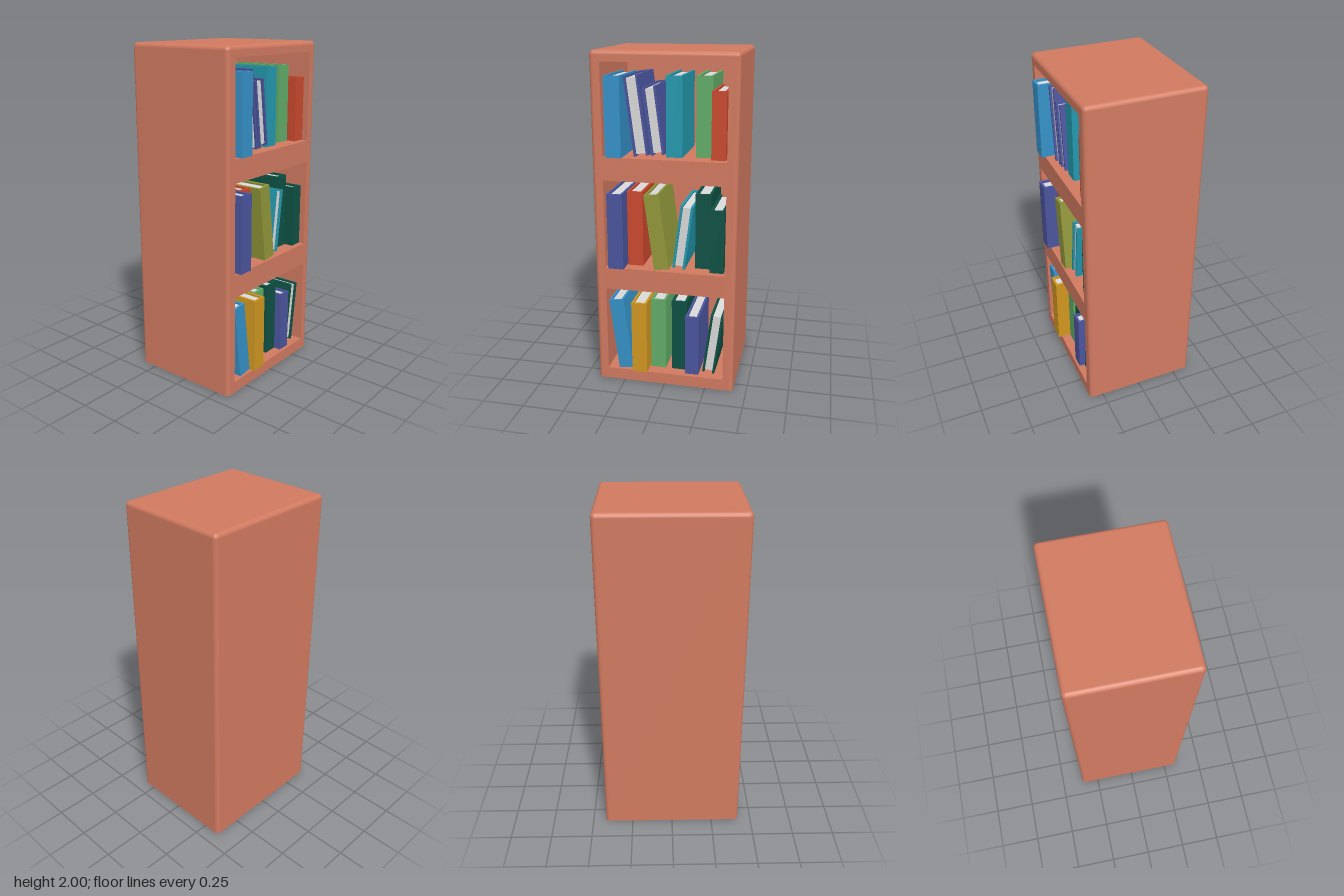
import * as THREE from 'three';

const mat = (name, color, side = THREE.FrontSide) =>
  new THREE.MeshStandardMaterial({ name, color, side });

const W = 0.42, TOP = 2, BACK = -0.36, FRONT = 0.335, R = 0.025;
const MID = (BACK + FRONT) / 2, HALF = (FRONT - BACK) / 2;
const CELL_X = 0.357, CELL_BACK = -0.215;
const CELLS = [[0.07, 0.602], [0.738, 1.27], [1.405, 1.938]];

// Open-bottomed walls with rounded upright and top edges; the flat front is left out
function shellGeometry() {
  const steps = 4, pos = [], nor = [], idx = [];
  const corners = [[1, 1], [1, -1], [-1, -1], [-1, 1]];
  const rows = [[0, 0]];
  for (let j = 0; j <= steps; j++) rows.push([TOP - R, (j / steps) * Math.PI / 2]);
  const n = corners.length * (steps + 1);
  for (const [y, t] of rows) {
    corners.forEach(([sx, sz], c) => {
      for (let k = 0; k <= steps; k++) {
        const a = (1 - c - k / steps) * Math.PI / 2;
        const d = [Math.cos(a) * Math.cos(t), Math.sin(t), Math.sin(a) * Math.cos(t)];
        nor.push(...d);
        pos.push(sx * (W - R) + R * d[0], y + R * d[1], MID + sz * (HALF - R) + R * d[2]);
      }
    });
  }
  for (let r = 0; r < rows.length - 1; r++) {
    for (let i = 0; i < (r === 0 ? n - 1 : n); i++) {
      const a = r * n + i, b = r * n + (i + 1) % n;
      idx.push(a, b, b + n, a, b + n, a + n);
    }
  }
  const g = new THREE.BufferGeometry();
  g.setAttribute('position', new THREE.Float32BufferAttribute(pos, 3));
  g.setAttribute('normal', new THREE.Float32BufferAttribute(nor, 3));
  g.setIndex(idx);
  return g;
}

// Flat front with one opening for each compartment
function frontGeometry() {
  const rect = (P, x, y0, y1) => new P([
    new THREE.Vector2(-x, y0), new THREE.Vector2(x, y0),
    new THREE.Vector2(x, y1), new THREE.Vector2(-x, y1)]);
  const shape = rect(THREE.Shape, W - R, 0, TOP - R);
  for (const [y0, y1] of CELLS) shape.holes.push(rect(THREE.Path, CELL_X, y0, y1));
  return new THREE.ShapeGeometry(shape);
}

// Inward-facing box without its front side
function compartmentGeometry(height) {
  const g = new THREE.BoxGeometry(CELL_X * 2, height, FRONT - CELL_BACK);
  const index = Array.from(g.index.array);
  index.splice(24, 6);
  g.setIndex(index.reverse());
  g.clearGroups();
  g.computeVertexNormals();
  return g;
}

export function createModel() {
  const model = new THREE.Group();
  model.name = 'bookcase';
  const wood = mat('terracotta wood', 0xd17a60, THREE.DoubleSide);
  const paper = mat('paper', 0xdadada);
  const blue = mat('blue cover', 0x3591c8);
  const teal = mat('teal cover', 0x2399ae);
  const green = mat('green cover', 0x62ac68);
  const red = mat('red cover', 0xcb492e);
  const indigo = mat('indigo cover', 0x4b559e);
  const olive = mat('olive cover', 0x91973b);
  const pine = mat('dark green cover', 0x0e5144);
  const gold = mat('gold cover', 0xd09720);

  const add = (parent, name, geometry, material, x = 0, y = 0, z = 0) => {
    const m = new THREE.Mesh(geometry, material);
    m.name = name;
    m.position.set(x, y, z);
    parent.add(m);
    return m;
  };

  // Case
  add(model, 'caseWalls', shellGeometry(), wood);
  add(model, 'caseTop', new THREE.PlaneGeometry(2 * (W - R), 2 * (HALF - R)), wood, 0, TOP, MID)
    .rotation.x = -Math.PI / 2;
  add(model, 'caseFront', frontGeometry(), wood, 0, 0, FRONT);
  for (const [y0, y1] of CELLS) {
    add(model, 'compartment', compartmentGeometry(y1 - y0), wood,
      0, (y0 + y1) / 2, (FRONT + CELL_BACK) / 2);
  }

  // A book: two boards, a spine (in front, or at the back when reversed) and a page block
  const D = 0.36, T = 0.014;
  function book(cover, x, y, w, h, front, tilt = 0, reversed = false) {
    const g = new THREE.Group();
    g.name = 'book';
    g.position.set(x, y, front - D / 2);
    g.rotation.z = tilt;
    const s = reversed ? -1 : 1;
    for (const side of [-1, 1]) {
      add(g, 'coverBoard', new THREE.BoxGeometry(T, h, D), cover, side * (w - T) / 2);
    }
    add(g, 'spine', new THREE.BoxGeometry(w - 2 * T, h, T), cover, 0, 0, s * (D - T) / 2);
    add(g, 'pages', new THREE.BoxGeometry(w - 2 * T, h - 0.024, D - T - 0.012), paper,
      0, 0, -s * (T - 0.012) / 2);
    model.add(g);
  }

  // Upright books: cover, centre x, shelf height, height, front z
  const upright = [
    [gold, -0.15, 0.08, 0.453, 0.36], [green, -0.05, 0.08, 0.453, 0.28],
    [pine, 0.08, 0.08, 0.453, 0.28], [indigo, 0.166, 0.08, 0.378, 0.325],
    [indigo, -0.286, 0.742, 0.455, 0.36], [red, -0.187, 0.742, 0.455, 0.275],
    [pine, 0.215, 0.742, 0.455, 0.25], [pine, 0.305, 0.742, 0.378, 0.305],
    [blue, -0.286, 1.41, 0.455, 0.36], [teal, 0.049, 1.41, 0.455, 0.28],
    [green, 0.215, 1.41, 0.455, 0.25], [red, 0.305, 1.41, 0.38, 0.305],
  ];
  for (const [cover, x, y, h, front] of upright) {
    book(cover, x, y + h / 2, h < 0.4 ? 0.082 : 0.093, h, front);
  }

  // Leaning books, some with their pages outwards
  book(blue, -0.272, 0.303, 0.09, 0.453, 0.325, 0.125);
  book(pine, 0.288, 0.277, 0.075, 0.385, 0.295, -0.13, true);
  book(olive, -0.047, 0.973, 0.09, 0.453, 0.33, 0.13);
  book(teal, 0.102, 0.941, 0.075, 0.385, 0.295, -0.13, true);
  book(indigo, -0.168, 1.638, 0.086, 0.453, 0.295, 0.125, true);
  book(indigo, -0.067, 1.614, 0.078, 0.385, 0.295, 0.125, true);

  return model;
}
